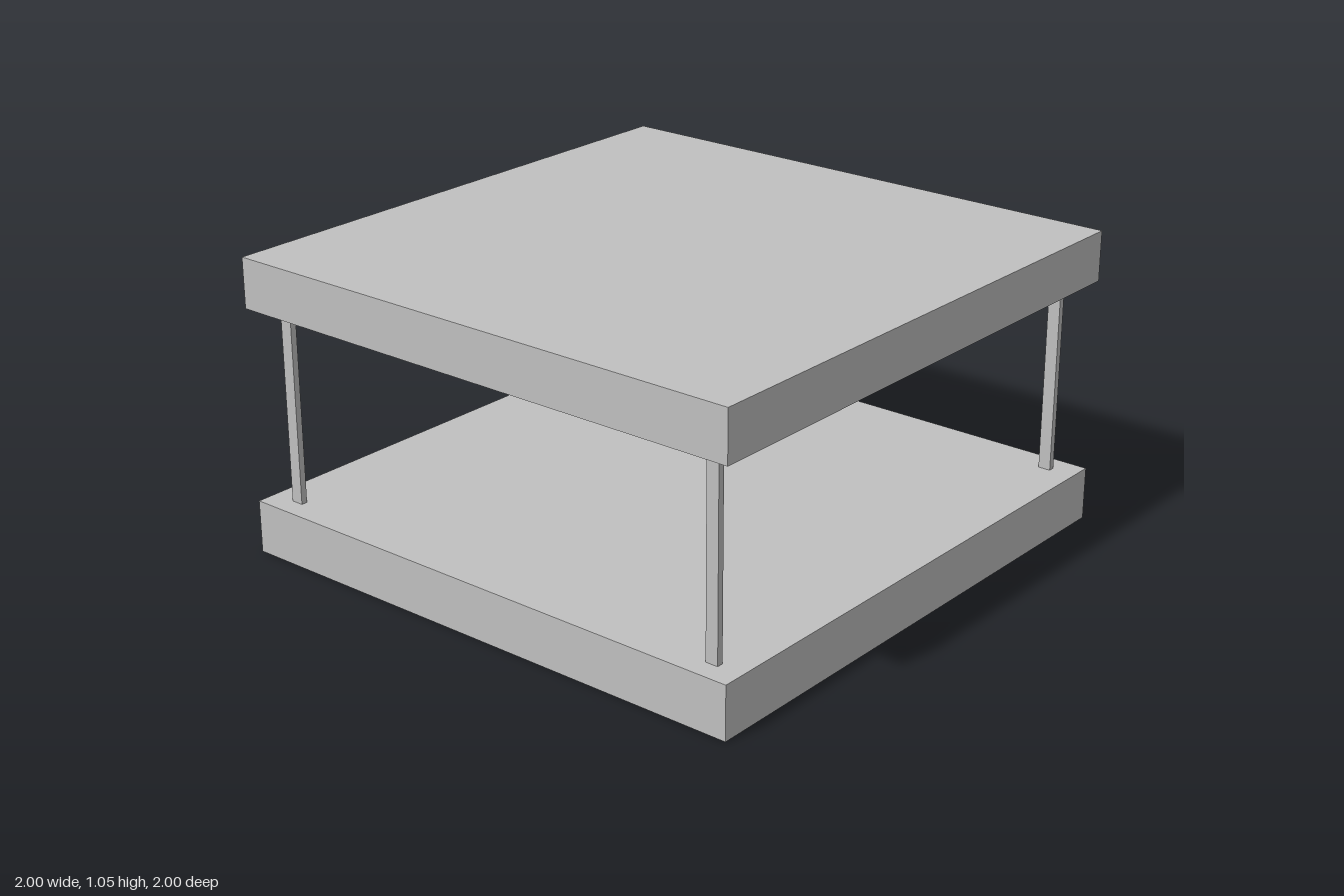
import * as THREE from 'three';

export function createModel() {
  const group = new THREE.Group();
  const grey = new THREE.MeshStandardMaterial({ color: 0xc0c0c0 });
  grey.name = 'light grey';

  // Box given by its bottom and top heights
  const addBox = (name, width, depth, bottom, top, x = 0, z = 0) => {
    const mesh = new THREE.Mesh(new THREE.BoxGeometry(width, top - bottom, depth), grey);
    mesh.name = name;
    mesh.position.set(x, (bottom + top) / 2, z);
    group.add(mesh);
  };

  // Two square slabs
  const baseTop = 0.187, roofBottom = 0.873;
  addBox('baseSlab', 2, 2, 0, baseTop);
  addBox('topSlab', 2, 2, roofBottom, 1.05);

  // Four flat posts near the corners
  for (const [side, x] of [['Left', 0.89], ['Right', -0.89]]) {
    for (const [end, z] of [['front', 0.917], ['back', -0.917]]) {
      addBox(`${end}${side}Post`, 0.045, 0.023, baseTop, roofBottom, x, z);
    }
  }

  return group;
}
